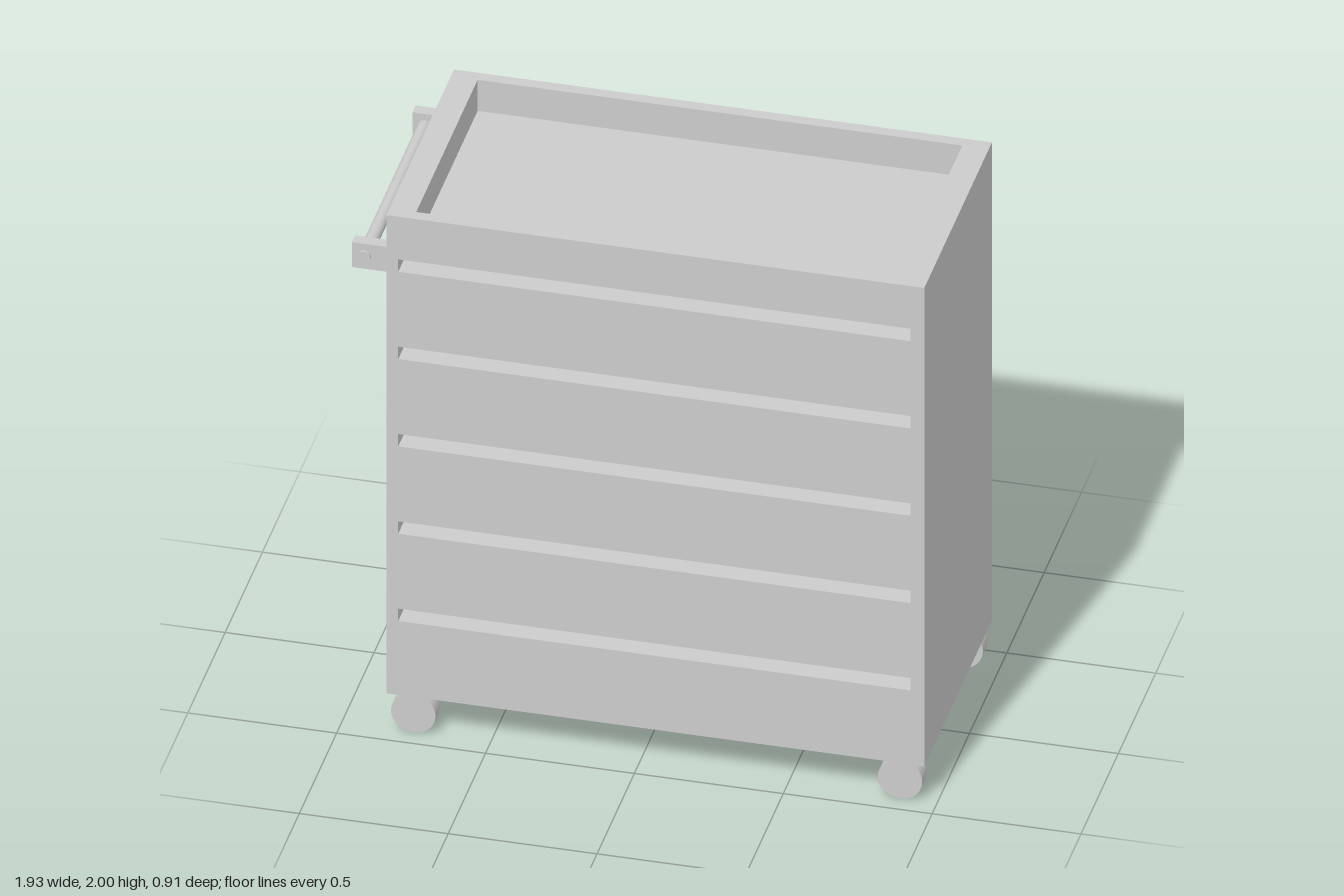
import * as THREE from 'three';

const grey = new THREE.MeshStandardMaterial({ color: 0xcccccc });

function addMesh(parent, name, geometry, x = 0, y = 0, z = 0) {
  const mesh = new THREE.Mesh(geometry, grey);
  mesh.name = name;
  mesh.position.set(x, y, z);
  parent.add(mesh);
  return mesh;
}

// Rectangle outline, counter-clockwise
function rect(PathType, x0, y0, x1, y1) {
  return new PathType([[x0, y0], [x1, y0], [x1, y1], [x0, y1]].map(p => new THREE.Vector2(...p)));
}

function slab(shape, depth) {
  return new THREE.ExtrudeGeometry(shape, { depth, bevelEnabled: false });
}

// Cylinder lying along z
function rod(radius, length) {
  return new THREE.CylinderGeometry(radius, radius, length, 48).rotateX(Math.PI / 2);
}

export function createModel() {
  const cart = new THREE.Group();
  cart.name = 'rollingCabinet';

  const left = -0.845, right = 0.962, halfDepth = 0.453;
  const bottom = 0.149, trayFloor = 1.88, top = 2;

  // Cabinet body with five slots running right through from front to back
  const face = rect(THREE.Shape, left, bottom, right, trayFloor);
  for (let i = 0; i < 5; i++) {
    const y = 0.459 + i * 0.338;
    face.holes.push(rect(THREE.Path, -0.805, y - 0.024, 0.916, y + 0.024));
  }
  addMesh(cart, 'cabinetBody', slab(face, 2 * halfDepth), 0, 0, -halfDepth);

  // Raised rim around the recessed top tray
  const rim = rect(THREE.Shape, left, -halfDepth, right, halfDepth);
  rim.holes.push(rect(THREE.Path, -0.755, -0.411, 0.873, 0.411));
  addMesh(cart, 'trayRim', slab(rim, top - trayFloor).rotateX(-Math.PI / 2), 0, trayFloor, 0);

  // Four wheels under the corners
  for (const x of [-0.759, 0.876]) {
    for (const z of [-0.406, 0.406]) {
      addMesh(cart, 'wheel', rod(0.0745, 0.058), x, 0.0745, z);
    }
  }

  // Push handle: a bar through two brackets
  const handle = new THREE.Group();
  handle.name = 'pushHandle';
  handle.position.set(0, 1.811, 0);
  cart.add(handle);
  for (const z of [-0.404, 0.404]) {
    addMesh(handle, 'handleBracket', new THREE.BoxGeometry(0.122, 0.096, 0.043), -0.906, 0, z);
  }
  addMesh(handle, 'handleBar', rod(0.023, 0.87), -0.926, 0, 0);

  return cart;
}
